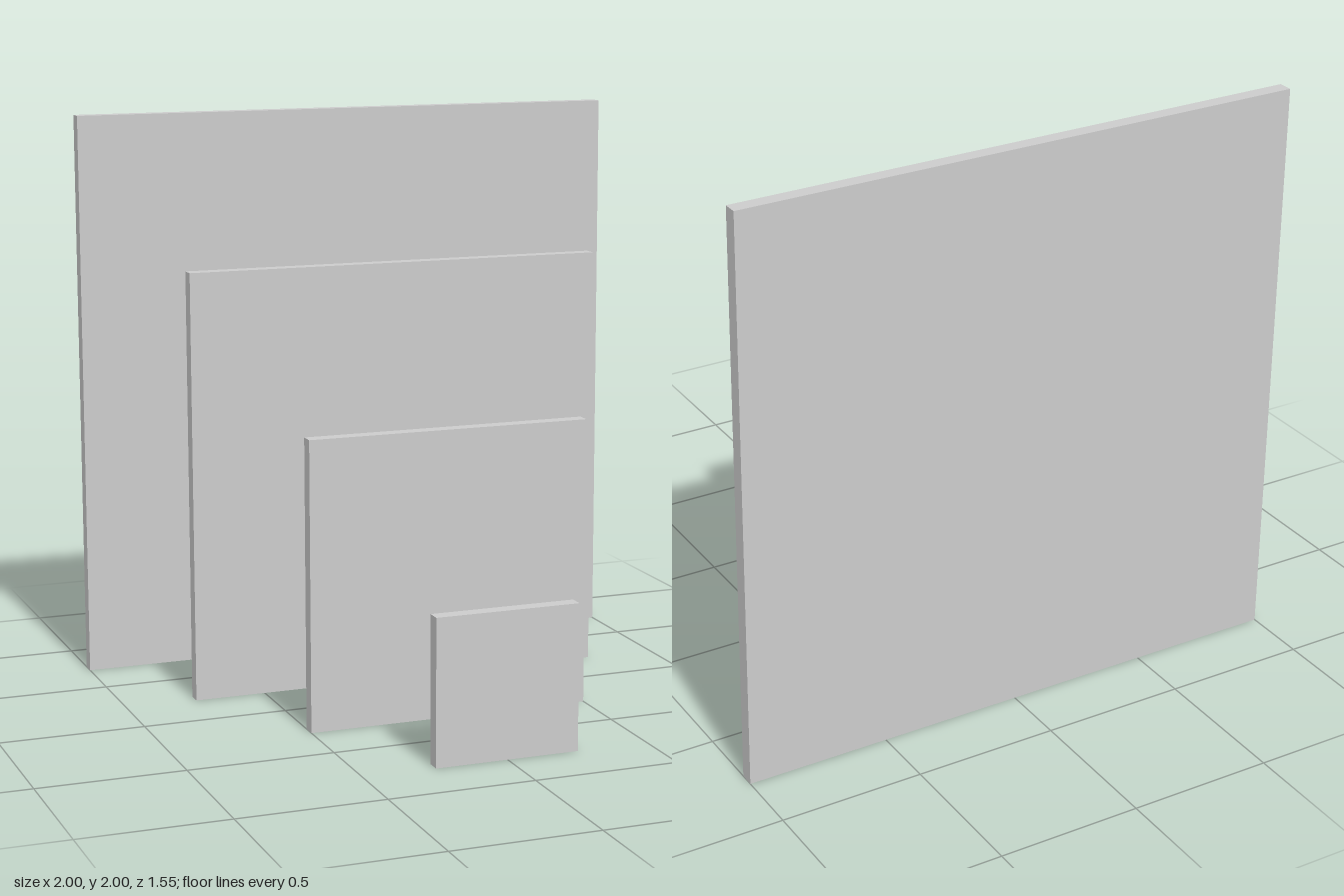
import * as THREE from 'three';

const PANEL_COUNT = 4;
const STEP = 0.5; // growth in size and spacing from one panel to the next
const THICKNESS = 0.05;

export function createModel() {
  const model = new THREE.Group();
  model.name = 'steppedPanels';
  const material = new THREE.MeshStandardMaterial({ color: 0xcccccc });

  // Upright square panels, smallest at the front and largest at the back
  for (let i = 0; i < PANEL_COUNT; i++) {
    const size = STEP * (i + 1);
    const panel = new THREE.Mesh(new THREE.BoxGeometry(size, size, THICKNESS), material);
    panel.name = `panel${i + 1}`;
    panel.position.set(0, size / 2, STEP * ((PANEL_COUNT - 1) / 2 - i));
    model.add(panel);
  }
  return model;
}
